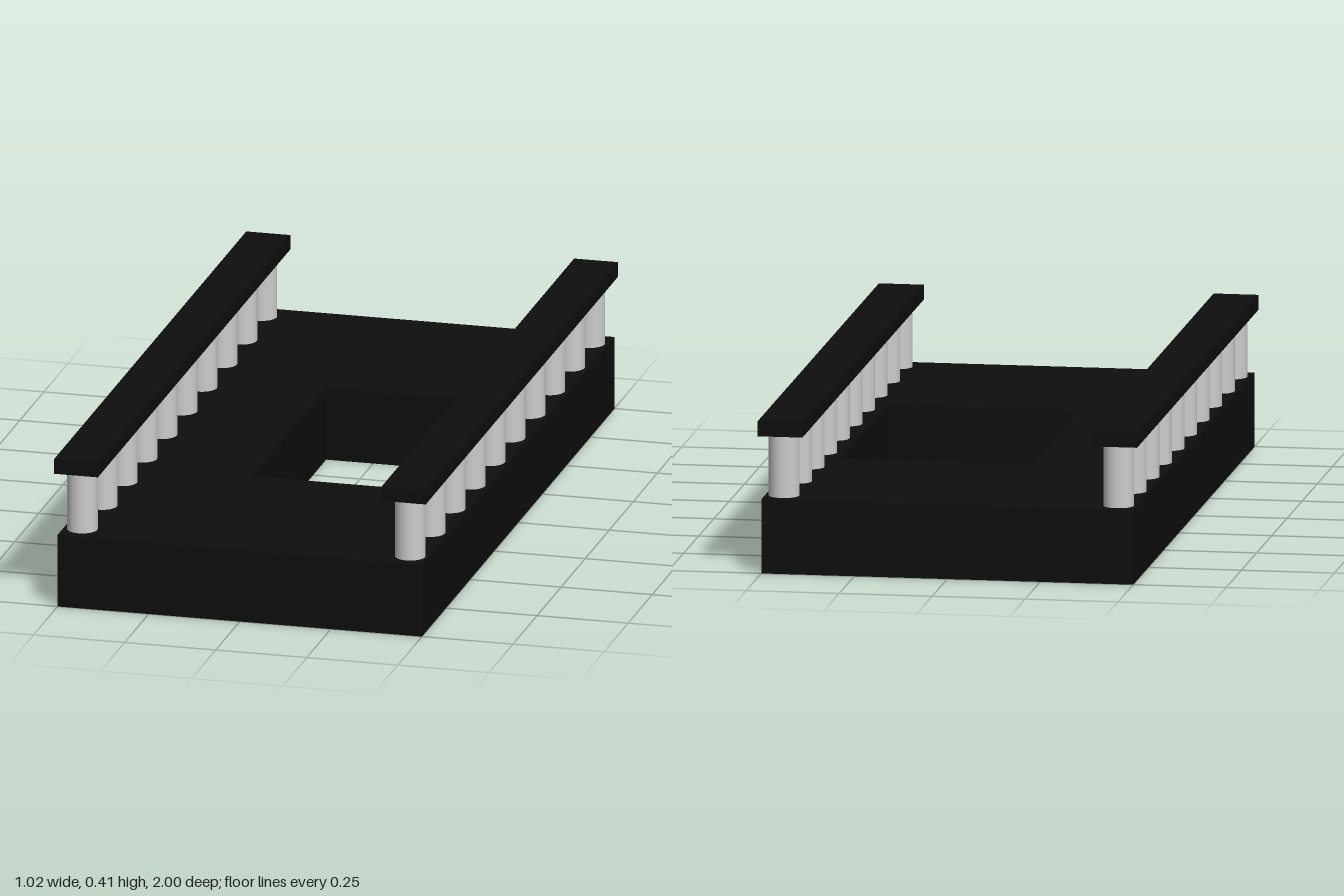
import * as THREE from 'three';

export function createModel() {
  const group = new THREE.Group();
  const black = new THREE.MeshStandardMaterial({ color: 0x0e0e0e });
  black.name = 'black';
  const lightGrey = new THREE.MeshStandardMaterial({ color: 0xcccccc });
  lightGrey.name = 'light grey';

  const add = (parent, name, geometry, material, x, y, z) => {
    const mesh = new THREE.Mesh(geometry, material);
    mesh.name = name;
    mesh.position.set(x, y, z);
    parent.add(mesh);
    return mesh;
  };

  // Floor slab with an off-centre rectangular opening (shape y becomes -z)
  const baseHeight = 0.2;
  const rectangle = (path, x0, x1, z) =>
    path.moveTo(x0, -z).lineTo(x1, -z).lineTo(x1, z).lineTo(x0, z).closePath();
  const outline = new THREE.Shape();
  rectangle(outline, -0.5, 0.5, 1);
  const opening = new THREE.Path();
  rectangle(opening, -0.129, 0.386, 0.386);
  outline.holes.push(opening);
  const slab = new THREE.ExtrudeGeometry(outline, { depth: baseHeight, bevelEnabled: false });
  slab.rotateX(-Math.PI / 2);
  add(group, 'floorSlab', slab, black, 0, 0, 0);

  // Balustrades: a row of round posts under a flat handrail on each side
  const postHeight = 0.17, railHeight = 0.04, postCount = 10, postSpan = 1.864;
  const postGeometry = new THREE.CylinderGeometry(0.041, 0.041, postHeight, 32);
  const railGeometry = new THREE.BoxGeometry(0.121, railHeight, 2);
  for (const side of [-1, 1]) {
    const balustrade = new THREE.Group();
    balustrade.name = side > 0 ? 'leftBalustrade' : 'rightBalustrade';
    balustrade.position.set(side * 0.45, baseHeight, 0);
    for (let i = 0; i < postCount; i++) {
      const z = (i / (postCount - 1) - 0.5) * postSpan;
      add(balustrade, 'post', postGeometry, lightGrey, 0, postHeight / 2, z);
    }
    add(balustrade, 'handrail', railGeometry, black, 0, postHeight + railHeight / 2, 0);
    group.add(balustrade);
  }
  return group;
}
